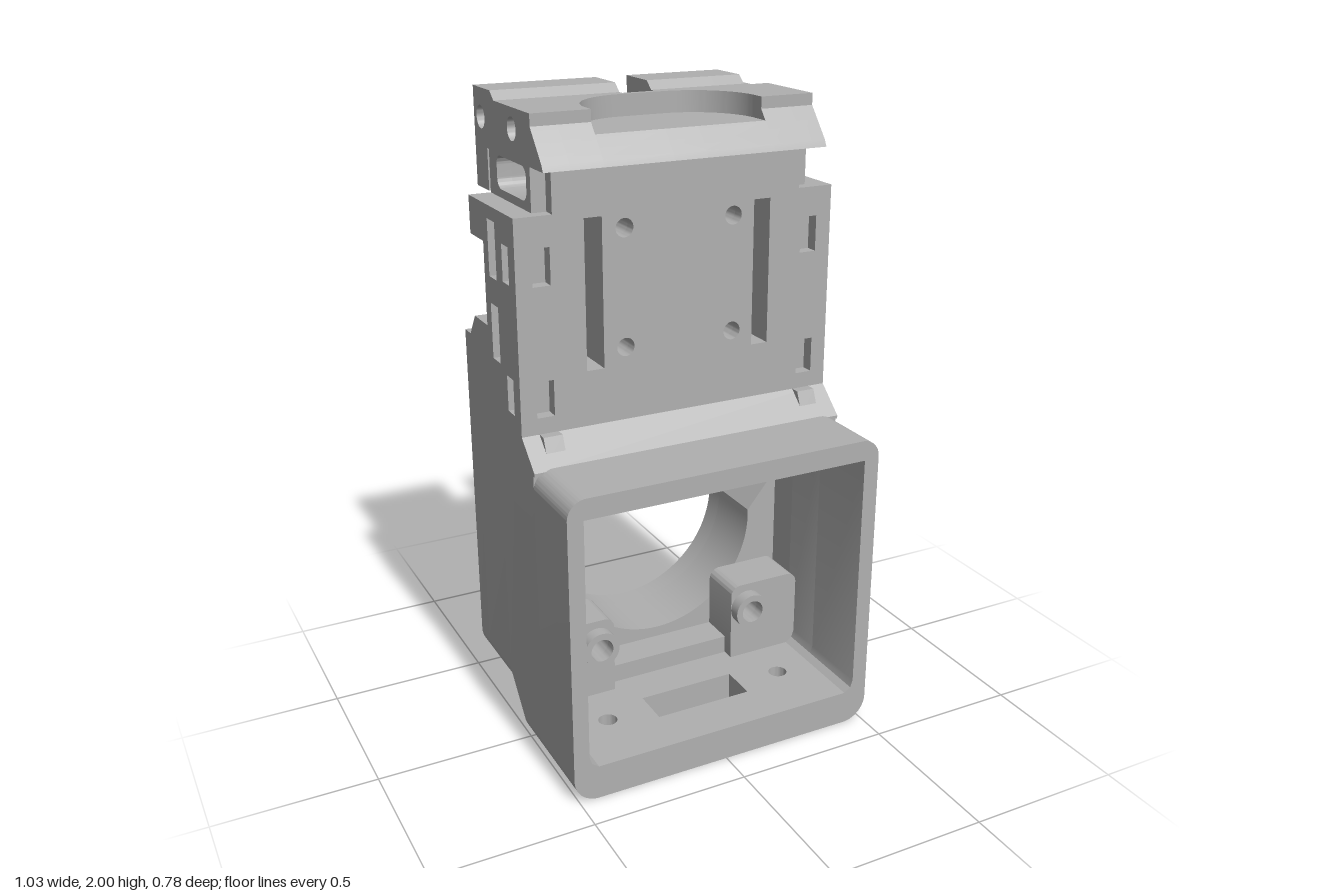
import * as THREE from 'three';
import { toCreasedNormals } from 'three/addons/utils/BufferGeometryUtils.js';

const grey = new THREE.MeshStandardMaterial({ color: 0xb0b0b0 });
grey.name = 'grey plastic';

export function createModel() {
  const model = new THREE.Group();

  const add = (name, geo) => {
    const mesh = new THREE.Mesh(toCreasedNormals(geo, 0.6), grey);
    mesh.name = name;
    model.add(mesh);
    return mesh;
  };
  const poly = (pts) => new THREE.Shape(pts.map(([a, b]) => new THREE.Vector2(a, b)));
  const rect = (a0, a1, b0, b1) => poly([[a0, b0], [a1, b0], [a1, b1], [a0, b1]]);
  const circle = (a, b, r) => new THREE.Shape().absarc(a, b, r, 0, Math.PI * 2);
  const cut = (shape, ...holes) => { shape.holes.push(...holes); return shape; };
  // rectangle with separate bottom and top corner radii
  const rounded = (a0, a1, b0, b1, rb, rt) => {
    const s = new THREE.Shape(), q = Math.PI / 2;
    s.absarc(a1 - rb, b0 + rb, rb, -q, 0);
    if (rt) { s.absarc(a1 - rt, b1 - rt, rt, 0, q); s.absarc(a0 + rt, b1 - rt, rt, q, 2 * q); }
    else { s.lineTo(a1, b1); s.lineTo(a0, b1); }
    s.absarc(a0 + rb, b0 + rb, rb, 2 * q, 3 * q);
    return s;
  };
  const extrude = (shape, depth) =>
    new THREE.ExtrudeGeometry(shape, { depth, bevelEnabled: false, curveSegments: 16 });
  // shape in (x, y), between two z; in (z, y), between two x; in (x, z), between two y
  const alongZ = (shape, z0, z1) => extrude(shape, z1 - z0).translate(0, 0, z0);
  const alongX = (shape, x0, x1) => extrude(shape, x1 - x0).rotateY(-Math.PI / 2).translate(x1, 0, 0);
  const alongY = (shape, y0, y1) => extrude(shape, y1 - y0).rotateX(Math.PI / 2).translate(0, y1, 0);

  // ---- front housing: open-bottomed frame plus a drilled floor ----
  const W = 0.515, q = Math.PI / 2;
  const frame = (top, r) => {
    const s = new THREE.Shape();
    s.moveTo(0.435, 0);
    s.absarc(0.435, 0.08, 0.08, -q, 0);
    if (r) { s.absarc(W - r, top - r, r, 0, q); s.absarc(r - W, top - r, r, q, 2 * q); }
    else { s.lineTo(W, top); s.lineTo(-W, top); }
    s.absarc(-0.435, 0.08, 0.08, 2 * q, 3 * q);
    s.lineTo(-0.435, 0.11);
    s.lineTo(-0.457, 0.125);
    s.lineTo(-0.465, 0.15);
    s.lineTo(-0.465, 0.92);
    s.lineTo(0.465, 0.92);
    s.lineTo(0.465, 0.15);
    s.lineTo(0.457, 0.125);
    s.lineTo(0.435, 0.11);
    return s;
  };
  add('frontFrame', alongZ(frame(0.985, 0.06), 0.15, 0.39));
  add('middleFrame', alongZ(frame(0.97, 0), -0.01, 0.15));
  add('floor', alongY(cut(rect(-0.435, 0.435, -0.01, 0.39), rect(-0.16, 0.16, 0.12, 0.24),
    circle(-0.31, 0.18, 0.03), circle(0.31, 0.18, 0.03)), 0, 0.11));

  // rear frame, with its underside sloping up towards the back
  const slope = alongZ(cut(rounded(-W, W, 0, 0.97, 0.08, 0), rect(-0.465, 0.465, 0.17, 0.92)), -0.12, -0.01);
  const p = slope.attributes.position;
  for (let i = 0; i < p.count; i++)
    if (p.getZ(i) < -0.1 && p.getY(i) < 0.1) p.setY(i, p.getY(i) + 0.12);
  add('slopedFrame', slope);

  // ---- back wall with the large round opening ----
  const opening = () => {
    const s = new THREE.Shape(), rad = Math.PI / 180;
    s.absarc(0.015, 0.55, 0.345, 47 * rad, 188 * rad);
    s.lineTo(-0.415, 0.39);
    s.lineTo(-0.4, 0.345);
    s.absarc(0.015, 0.55, 0.345, 228 * rad, 363 * rad);
    s.lineTo(0.435, 0.66);
    s.lineTo(0.44, 0.72);
    s.lineTo(0.4, 0.77);
    return s;
  };
  add('backWall', alongZ(cut(rounded(-W, W, 0.12, 0.97, 0.08, 0), opening()), -0.32, -0.12));
  const skin = new THREE.Shape();
  skin.absarc(0.435, 0.2, 0.08, -q, 0);
  [[W, 1.06], [0.36, 1.06], [0.36, 1.14], [-0.36, 1.14], [-0.36, 1.06], [-W, 1.06]].forEach((v) => skin.lineTo(...v));
  skin.absarc(-0.435, 0.2, 0.08, 2 * q, 3 * q);
  [[-0.38, 0.12], [-0.36, 0.17], [-0.24, 0.17], [-0.22, 0.12], [0.22, 0.12], [0.24, 0.17], [0.36, 0.17], [0.38, 0.12]]
    .forEach((v) => skin.lineTo(...v));
  cut(skin, opening(), poly([[0.1, 0.93], [0.28, 0.93], [0.32, 0.97], [0.32, 1.12], [0.07, 1.12], [0.07, 0.97]]));
  for (const x of [-0.445, 0.445]) for (const y of [0.24, 0.83]) skin.holes.push(circle(x, y, 0.032));
  add('backSkin', alongZ(skin, -0.39, -0.32));

  // ---- corner tabs with screw bosses inside the housing ----
  for (const side of [-1, 1]) for (const [y0, y1, hy] of [[0.11, 0.375, 0.29], [0.76, 0.92, 0.84]]) {
    const x = side * 0.275, low = y0 < 0.5;
    const tab = low ? rounded(-0.125, 0.125, y0, y1, 0.002, 0.035) : rounded(-0.125, 0.125, y0, y1, 0.035, 0.002);
    const geo = alongZ(cut(tab, circle(-side * 0.065, hy, 0.038)), -0.12, 0.03).translate(side * 0.34, 0, 0);
    add('cornerTab', geo);
    add('screwBoss', alongZ(cut(circle(x, hy, 0.06), circle(x, hy, 0.038)), 0.03, 0.07));
  }

  // ---- shoulder between housing and upper body ----
  add('shoulder', alongX(poly([[0.16, 0.97], [0.16, 0.98], [0.07, 1.06], [-0.32, 1.06], [-0.32, 0.97]]), -W, W));
  add('ledge', alongX(poly([[0.03, 1.06], [0.03, 1.2], [-0.32, 1.2], [-0.39, 1.14], [-0.32, 1.14], [-0.32, 1.06]]), -0.36, 0.36));
  for (const s of [-1, 1]) {
    const rib = alongX(poly([[0.13, 0.99], [0.1, 1.06], [0.07, 1.06], [0.07, 0.99]]), -0.03, 0.03);
    add('shoulderRib', rib.translate(s * 0.43, 0, 0));
  }

  // ---- upper body: mounting plate ----
  const plateHoles = () => [
    rect(-0.305, -0.25, 1.23, 1.68), rect(0.245, 0.3, 1.23, 1.68),
    ...[-0.18, 0.175].flatMap((x) => [1.285, 1.64].map((y) => circle(x, y, 0.028))),
  ];
  const strapHoles = [-0.465, 0.41].flatMap((x) => [1.11, 1.5].map((y) => rect(x, x + 0.055, y, y + 0.11)));
  add('frontPlate', alongZ(cut(rect(-W, W, 1.06, 1.7), ...plateHoles(), ...strapHoles), 0.03, 0.07));
  add('plateBacking', alongZ(cut(rect(-0.36, 0.36, 1.2, 1.7), ...plateHoles()), -0.07, 0.03));

  // ---- upper body: notched side walls, through slots and strap pockets ----
  const wall = () => cut(poly([[0.03, 1.06], [0.03, 1.7], [-0.29, 1.7], [-0.29, 1.585], [-0.18, 1.585], [-0.18, 1.33],
    [-0.29, 1.33], [-0.34, 1.26], [-0.39, 1.26], [-0.39, 1.06]]),
    rect(-0.14, -0.08, 1.24, 1.41), rect(-0.14, -0.08, 1.49, 1.66));
  const pockets = () => [1.11, 1.5].map((y) => rect(-0.03, 0.02, y, y + 0.11));
  for (const s of [-1, 1]) {
    const [a, b, c] = [0.36, 0.465, W];
    add('sideWallInner', alongX(wall(), s > 0 ? a : -b, s > 0 ? b : -a));
    add('sideWallOuter', alongX(cut(wall(), ...pockets()), s > 0 ? b : -c, s > 0 ? c : -b));
    // upright ribs on the inner face
    for (let i = 0; i < 3; i++)
      add('innerRib', new THREE.BoxGeometry(0.03, 0.25, 0.012).translate(s * 0.346, 1.46, -0.15 - i * 0.011 * 1.0 + 0.004 * i));
  }

  // ---- neck with the wide cross tunnel ----
  add('neck', alongX(cut(rect(-0.29, 0.07, 1.69, 1.83), rounded(-0.23, 0, 1.725, 1.822, 0.03, 0.03)), -0.4, 0.4));
  for (const s of [-1, 1])
    add('neckCheek', alongX(cut(rect(-0.29, 0.03, 1.7, 1.83), rounded(-0.23, 0, 1.725, 1.822, 0.03, 0.03)),
      s > 0 ? 0.4 : -0.445, s > 0 ? 0.445 : -0.4));

  // ---- top rail, built from slices across the width ----
  const rail = (back, { recess = false, top = 2, drop = true } = {}) => {
    const pts = [[0.14, 1.83], [0.13, 1.85]];
    if (recess) pts.push([0.08, 1.91], [-0.18, 1.91], [-0.18, 1.975]);
    else pts.push([0.055, 1.94], [0.055, 1.975]);
    if (top === 2) pts.push([-0.22, 1.975], [-0.25, 2], [back, 2]);
    else if (top === 1.975) pts.push([back, 1.975]);
    else pts.push([-0.2, 1.975], [-0.22, top], [back, top]);
    if (drop) pts.push([back, 1.705], [-0.29, 1.705], [-0.29, 1.83]);
    else pts.push([back, 1.83]);
    return poly(pts);
  };
  const sideScrews = () => [circle(-0.085, 1.915, 0.034), circle(-0.335, 1.915, 0.034)];
  add('railEndRight', alongX(cut(rail(-0.39), ...sideScrews()), -0.45, -0.37));
  add('railEndLeft', alongX(cut(rail(-0.39, { top: 1.96 }), ...sideScrews()), 0.37, 0.445));
  add('railRight', alongX(rail(-0.34), -0.37, -0.27));
  add('railLeft', alongX(rail(-0.34), 0.27, 0.37));
  add('railCentreRight', alongX(rail(-0.34, { recess: true }), -0.27, -0.055));
  add('railCentreLeft', alongX(rail(-0.34, { recess: true }), 0.05, 0.27));
  add('railGap', alongX(rail(-0.2, { recess: true, top: 1.975, drop: false }), -0.055, 0.05));
  add('gapFloor', alongX(rect(-0.29, -0.2, 1.83, 1.88), -0.055, 0.05));
  for (const [x0, x1, hx] of [[-0.37, -0.055, -0.12], [0.05, 0.37, 0.12]])
    add('railBack', alongZ(cut(rect(x0, x1, 1.705, 2), circle(hx, 1.92, 0.032), circle(hx, 1.76, 0.032)), -0.39, -0.34));

  // rounded corners of the recess in the rail
  for (const s of [-1, 1]) {
    const corner = new THREE.Shape();
    corner.moveTo(s * 0.27, -0.18);
    corner.lineTo(s * 0.27, 0.02);
    corner.absarc(s * 0.07, 0.02, 0.2, s > 0 ? 0 : Math.PI, -q, s > 0);
    add('recessCorner', alongY(corner, 1.91, 1.975));
  }

  return model;
}
